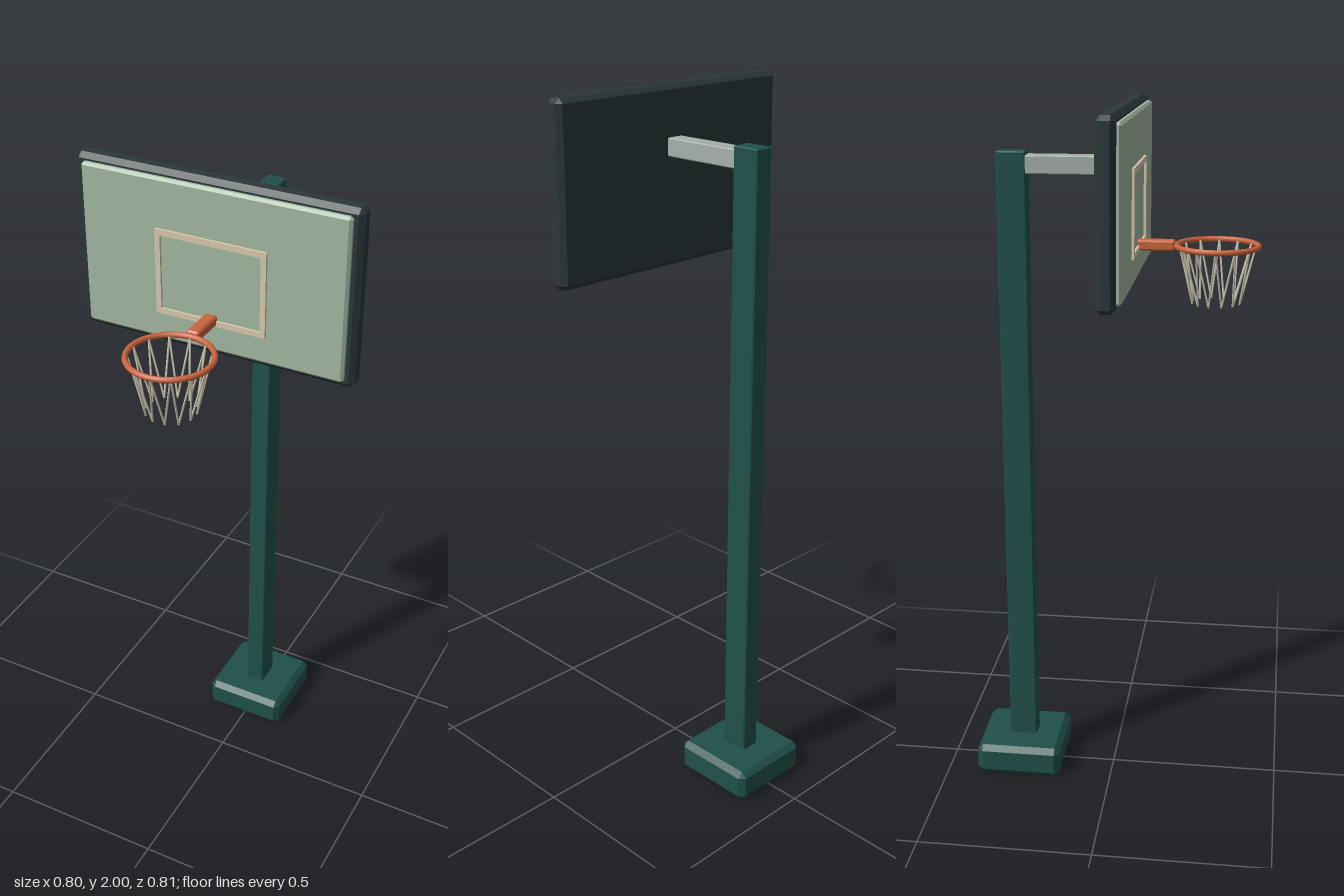
import * as THREE from 'three';
import { ConvexGeometry } from 'three/addons/geometries/ConvexGeometry.js';

const mat = (name, color) => {
  const m = new THREE.MeshStandardMaterial({ color });
  m.name = name;
  return m;
};

// Box between two corners with every edge cut at 45 degrees
function chamferBox(min, max, c) {
  const lo = new THREE.Vector3(...min), hi = new THREE.Vector3(...max);
  const mid = lo.clone().add(hi).multiplyScalar(0.5);
  const h = hi.clone().sub(lo).multiplyScalar(0.5);
  const points = [];
  for (const x of [-1, 1]) for (const y of [-1, 1]) for (const z of [-1, 1]) {
    for (const axis of [0, 1, 2]) {
      const inset = [c, c, c];
      inset[axis] = 0;
      points.push(new THREE.Vector3(
        mid.x + x * (h.x - inset[0]),
        mid.y + y * (h.y - inset[1]),
        mid.z + z * (h.z - inset[2])));
    }
  }
  return new ConvexGeometry(points);
}

export function createModel() {
  const teal = mat('teal paint', 0x20504b);
  const steel = mat('pale steel', 0xa3afaa);
  const dark = mat('dark frame', 0x2a3738);
  const green = mat('pale green panel', 0xa2b7a2);
  const cream = mat('cream line', 0xd6c8ac);
  const orange = mat('orange rim', 0xcb653e);
  const cord = mat('net cord', 0xcdc6b2);

  const model = new THREE.Group();
  model.name = 'basketballHoop';
  const add = (name, geometry, material, parent = model) => {
    const mesh = new THREE.Mesh(geometry, material);
    mesh.name = name;
    parent.add(mesh);
    return mesh;
  };

  // Stand
  add('base', chamferBox([-0.127, 0, -0.407], [0.127, 0.093, -0.153], 0.016), teal);
  add('pole', chamferBox([-0.028, 0.08, -0.32], [0.028, 1.873, -0.238], 0.003), teal);
  add('arm', chamferBox([-0.026, 1.813, -0.25], [0.026, 1.863, 0.01], 0.003), steel);

  // Backboard with its raised front panel
  add('backboardFrame', chamferBox([-0.398, 1.513, 0], [0.398, 2, 0.053], 0.013), dark);
  add('backboardPanel', chamferBox([-0.374, 1.532, 0.045], [0.374, 1.982, 0.067], 0.007), green);

  // Target rectangle
  const target = new THREE.Shape()
    .moveTo(-0.158, 1.61).lineTo(0.158, 1.61).lineTo(0.158, 1.848).lineTo(-0.158, 1.848);
  target.holes.push(new THREE.Path()
    .moveTo(-0.143, 1.625).lineTo(-0.143, 1.832).lineTo(0.143, 1.832).lineTo(0.143, 1.625));
  add('targetLines', new THREE.ExtrudeGeometry(target, { depth: 0.008, bevelEnabled: false }), cream)
    .position.z = 0.066;

  // Bracket and rim
  add('rimBracket', chamferBox([-0.018, 1.61, 0.06], [0.018, 1.639, 0.17], 0.005), orange);
  const rimY = 1.625, rimZ = 0.285;
  const rim = add('rim', new THREE.TorusGeometry(0.112, 0.008, 8, 40), orange);
  rim.rotation.x = Math.PI / 2;
  rim.position.set(0, rimY, rimZ);

  // Net: cords zigzag between the rim and a smaller ring of points below
  const net = new THREE.Group();
  net.name = 'net';
  net.position.set(0, rimY, rimZ);
  model.add(net);
  const knot = (i) => {
    const a = i * Math.PI / 12, low = i % 2 !== 0;
    const r = low ? 0.067 : 0.104;
    return new THREE.Vector3(Math.cos(a) * r, low ? -0.158 : -0.001, Math.sin(a) * r);
  };
  const up = new THREE.Vector3(0, 1, 0);
  for (let i = 0; i < 24; i++) {
    const a = knot(i), b = knot(i + 1);
    const dir = b.clone().sub(a);
    const strand = add('netCord', new THREE.CylinderGeometry(0.0028, 0.0028, dir.length(), 6), cord, net);
    strand.position.copy(a).add(b).multiplyScalar(0.5);
    strand.quaternion.setFromUnitVectors(up, dir.normalize());
  }
  return model;
}
